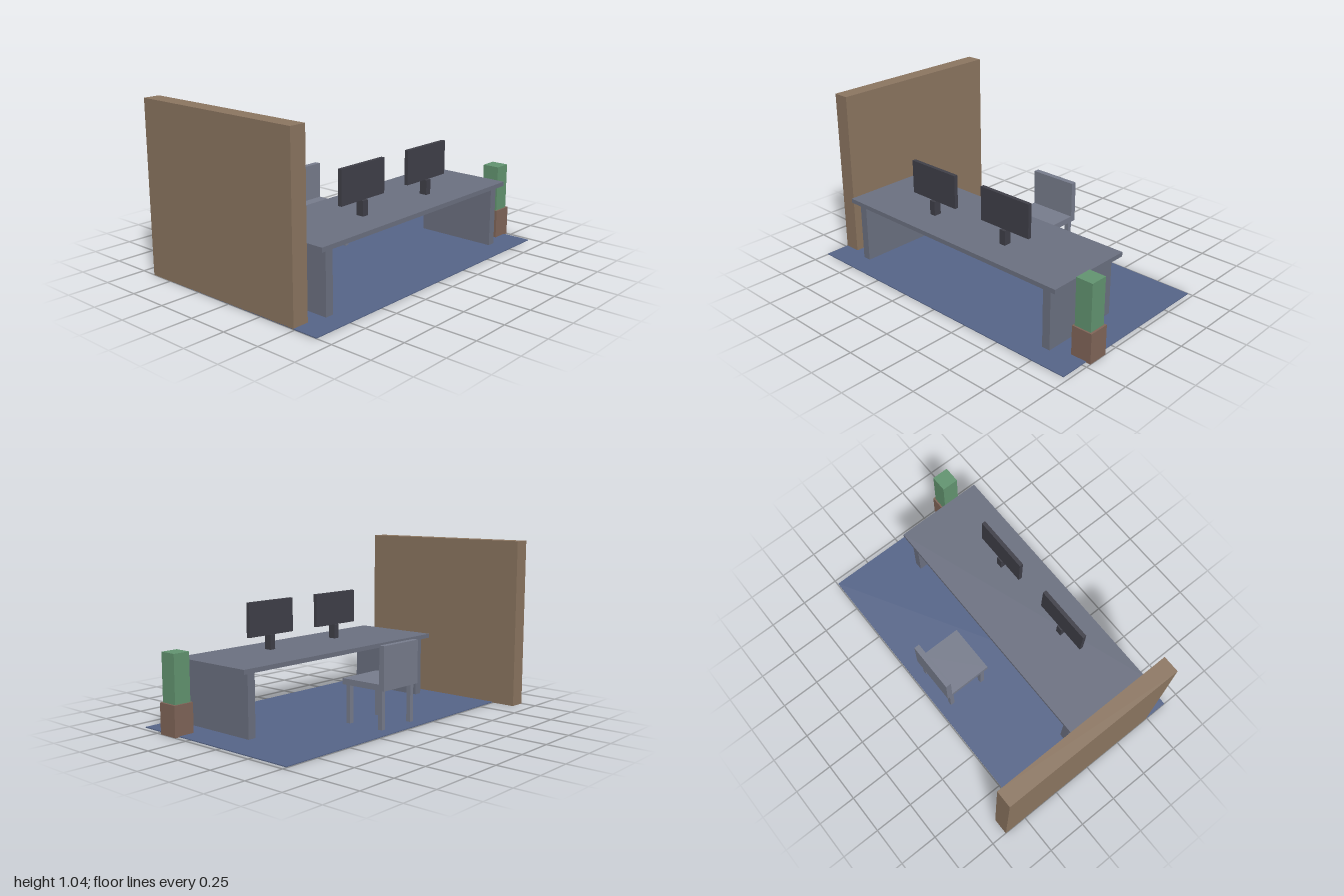
import * as THREE from 'three';

const material = (color) => new THREE.MeshStandardMaterial({ color });

// Box given by its extents along each axis
function block(parent, name, mat, [x0, x1], [y0, y1], [z0, z1]) {
  const mesh = new THREE.Mesh(new THREE.BoxGeometry(x1 - x0, y1 - y0, z1 - z0), mat);
  mesh.position.set((x0 + x1) / 2, (y0 + y1) / 2, (z0 + z1) / 2);
  mesh.name = name;
  parent.add(mesh);
}

function subgroup(parent, name) {
  const group = new THREE.Group();
  group.name = name;
  parent.add(group);
  return group;
}

export function createModel() {
  const model = new THREE.Group();
  model.name = 'officeWorkspace';

  const carpetMat = material(0x556488);
  const woodMat = material(0x8b7560);
  const deskMat = material(0x6b7080);
  const chairMat = material(0x777c8c);
  const screenMat = material(0x3f3f48);
  const potMat = material(0x806558);
  const leafMat = material(0x629470);

  // Floor and side wall
  block(model, 'carpet', carpetMat, [-1, 0.97], [0, 0.005], [-0.495, 0.65]);
  block(model, 'sideWall', woodMat, [-1, -0.898], [0, 1.04], [-0.65, 0.492]);

  // Desk with two slab legs
  const desk = subgroup(model, 'desk');
  block(desk, 'deskTop', deskMat, [-0.845, 0.815], [0.378, 0.405], [-0.025, 0.545]);
  for (const x of [-0.766, 0.738]) {
    block(desk, 'deskLeg', deskMat, [x - 0.026, x + 0.026], [0, 0.378], [0.002, 0.52]);
  }

  // Two monitors on stands
  for (const x of [-0.302, 0.271]) {
    const monitor = subgroup(model, 'monitor');
    block(monitor, 'screen', screenMat, [x - 0.18, x + 0.18], [0.495, 0.703], [0.323, 0.347]);
    block(monitor, 'stand', screenMat, [x - 0.02, x + 0.02], [0.405, 0.495], [0.315, 0.363]);
  }

  // Chair behind the desk
  const chair = subgroup(model, 'chair');
  block(chair, 'seat', chairMat, [-0.17, 0.14], [0.235, 0.271], [-0.405, -0.13]);
  block(chair, 'backrest', chairMat, [-0.17, 0.14], [0.235, 0.494], [-0.44, -0.405]);
  for (const x of [-0.146, 0.115]) {
    for (const z of [-0.165, -0.404]) {
      block(chair, 'chairLeg', chairMat, [x - 0.014, x + 0.014], [0, 0.235], [z - 0.014, z + 0.014]);
    }
  }

  // Potted plant beside the desk
  const plant = subgroup(model, 'plant');
  block(plant, 'pot', potMat, [0.87, 1], [0, 0.183], [0.34, 0.468]);
  block(plant, 'foliage', leafMat, [0.88, 0.987], [0.183, 0.47], [0.35, 0.458]);

  return model;
}
